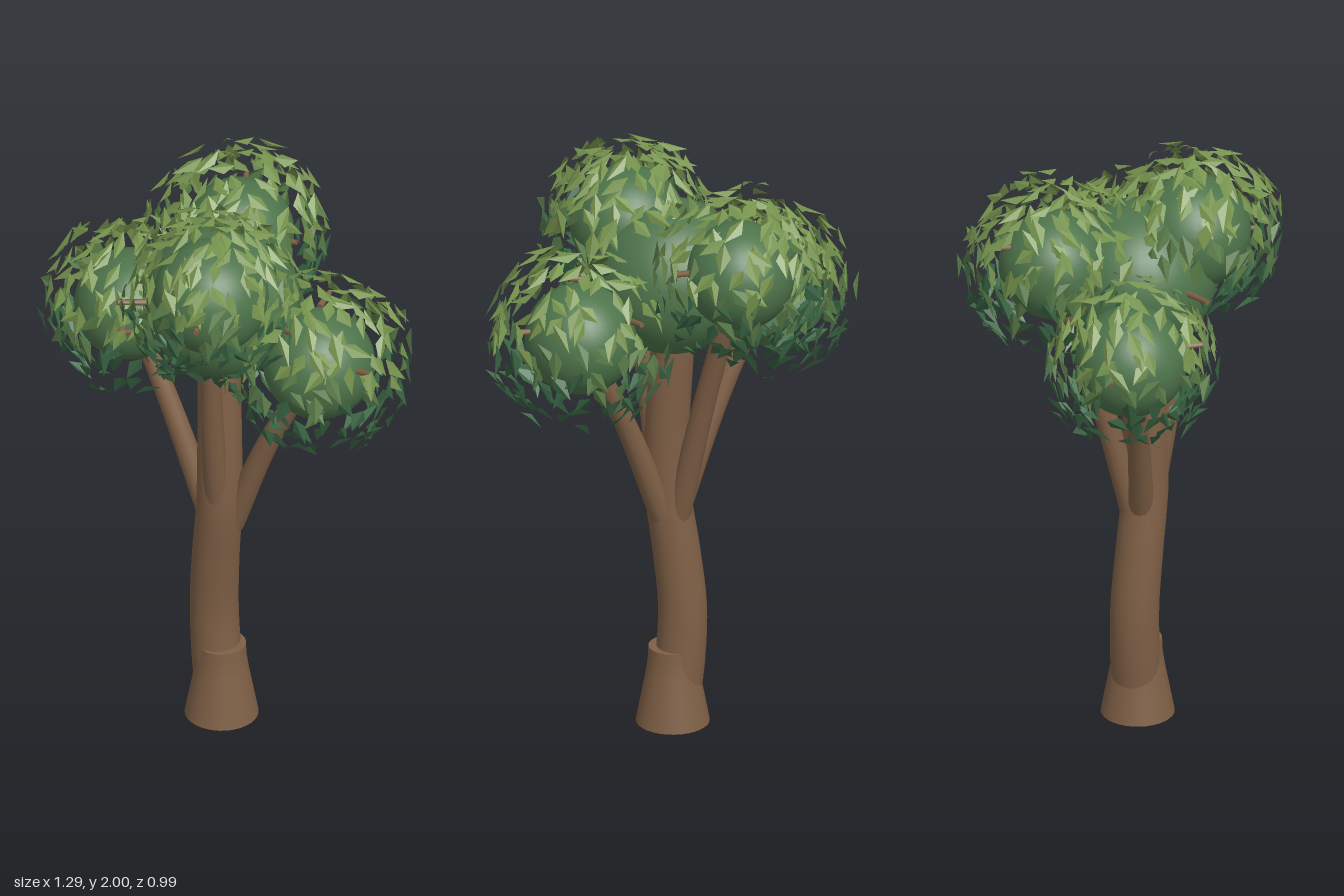
import * as THREE from 'three';

const V = (x, y, z) => new THREE.Vector3(x, y, z);
const mat = (name, color, double) => {
  const m = new THREE.MeshStandardMaterial({ color });
  m.name = name;
  if (double) m.side = THREE.DoubleSide;
  return m;
};

// small seeded random generator
function seeded(seed) {
  return () => {
    seed = (seed + 0x6d2b79f5) | 0;
    let t = Math.imul(seed ^ (seed >>> 15), 1 | seed);
    t = (t + Math.imul(t ^ (t >>> 7), 61 | t)) ^ t;
    return ((t ^ (t >>> 14)) >>> 0) / 4294967296;
  };
}

// tube along a smooth curve whose radius goes from r0 to r1
function taperedTube(points, r0, r1, sides = 20, steps = 24) {
  const curve = new THREE.CatmullRomCurve3(points);
  const geo = new THREE.TubeGeometry(curve, steps, 1, sides, false);
  const pos = geo.attributes.position;
  const v = new THREE.Vector3();
  for (let i = 0; i <= steps; i++) {
    const c = curve.getPointAt(i / steps);
    const r = r0 + (r1 - r0) * (i / steps);
    for (let j = 0; j <= sides; j++) {
      const k = i * (sides + 1) + j;
      v.fromBufferAttribute(pos, k).sub(c).multiplyScalar(r).add(c);
      pos.setXYZ(k, v.x, v.y, v.z);
    }
  }
  return geo;
}

// creased, drooping leaves spread over a shell around one clump, sorted by height
function growLeaves(center, shell, count, rand, buckets) {
  const up = V(0, 1, 0);
  for (let i = 0; i < count; i++) {
    const ny = 0.99 - 1.84 * (i + rand()) / count;
    const a = i * 2.39996 + rand() * 0.8;
    const h = Math.sqrt(1 - ny * ny);
    const n = V(h * Math.cos(a), ny, h * Math.sin(a));
    const mid = n.clone().multiplyScalar(shell + (rand() - 0.5) * 0.065).add(center);
    // direction: down the shell, swung sideways and tilted a little
    const side = new THREE.Vector3().crossVectors(up, n).normalize();
    const dir = new THREE.Vector3().crossVectors(side, n).normalize()
      .applyAxisAngle(n, (rand() - 0.5) * 1.8)
      .addScaledVector(n, (rand() - 0.5) * 0.4).normalize();
    const across = new THREE.Vector3().crossVectors(dir, n).normalize()
      .applyAxisAngle(dir, (rand() - 0.5) * 0.6);
    const out = new THREE.Vector3().crossVectors(across, dir).normalize();
    const len = 0.08 + rand() * 0.04, w = 0.018 + rand() * 0.009;
    const base = mid.clone().addScaledVector(dir, -len / 2);
    const tip = mid.clone().addScaledVector(dir, len / 2);
    const edge = s => mid.clone().addScaledVector(dir, -len * 0.08)
      .addScaledVector(across, s * w).addScaledVector(out, -0.011);
    const l = edge(-1), r = edge(1);
    const level = ny + (rand() - 0.5) * 0.4;
    const bucket = buckets[level > 0.2 ? 0 : level > -0.15 ? 1 : 2];
    for (const p of [base, l, tip, base, tip, r]) bucket.push(p.x, p.y, p.z);
  }
}

export function createModel() {
  const group = new THREE.Group();
  group.name = 'tree';
  const bark = mat('bark brown', 0x7f6046);
  const crown = mat('crown green', 0x4e744b);
  const leafMats = [
    mat('light leaf green', 0x77944e, true),
    mat('leaf green', 0x5a7c49, true),
    mat('dark leaf green', 0x3a6644, true),
  ];
  const add = (name, geo, material) => {
    const m = new THREE.Mesh(geo, material);
    m.name = name;
    group.add(m);
    return m;
  };

  // flared foot with a flat collar on top
  const foot = [[0.12, 0], [0.105, 0.08], [0.088, 0.17], [0.081, 0.22], [0.079, 0.265]]
    .map(p => new THREE.Vector2(...p));
  add('trunkFoot', new THREE.LatheGeometry(foot, 32), bark).position.set(-0.018, 0, 0.04);
  const collar = add('footCollar', new THREE.CircleGeometry(0.079, 32), bark);
  collar.rotation.x = -Math.PI / 2;
  collar.position.set(-0.018, 0.265, 0.04);
  const sole = add('footSole', new THREE.CircleGeometry(0.12, 32), bark);
  sole.rotation.x = Math.PI / 2;
  sole.position.set(-0.018, 0, 0.04);

  // gently bent trunk
  add('trunk', taperedTube([
    V(-0.02, 0.04, 0.04), V(-0.043, 0.22, 0.04), V(-0.051, 0.4, 0.042), V(-0.033, 0.6, 0.052),
    V(-0.005, 0.82, 0.062), V(-0.005, 1.05, 0.06), V(-0.018, 1.3, 0.05), V(-0.02, 1.5, 0.04),
  ], 0.083, 0.068, 24, 36), bark);

  // leaf clumps: name, centre, radius, gap to the leaves, leaf count, branch start and bend
  const clumps = [
    ['right', V(-0.352, 1.45, 0.135), 0.182, 0.085, 220, V(-0.035, 0.72, 0.06), V(-0.185, 1.1, 0.1)],
    ['left', V(0.318, 1.445, -0.08), 0.182, 0.105, 220, V(0.02, 0.74, 0.03), V(0.155, 1.1, -0.01)],
    ['back', V(-0.185, 1.665, -0.19), 0.178, 0.1, 240, V(-0.03, 0.72, 0.03), V(-0.105, 1.2, -0.07)],
    ['front', V(0.095, 1.715, 0.19), 0.188, 0.078, 270, V(0.012, 0.82, 0.085), V(0.045, 1.2, 0.14)],
  ];
  const rand = seeded(17);
  const buckets = [[], [], []];
  const core = V(-0.015, 1.58, 0.04);
  add('crownCore', new THREE.SphereGeometry(0.255, 32, 24), crown).position.copy(core);
  for (const [name, c, r, gap, count, start, bend] of clumps) {
    add(name + 'Clump', new THREE.SphereGeometry(r, 32, 24), crown).position.copy(c);
    add(name + 'Branch', taperedTube([start, bend, c], 0.042, 0.029, 14, 16), bark);
    growLeaves(c, r + gap, count, rand, buckets);
  }

  // short twigs poking out of the clumps
  const twigs = [
    [V(-0.48, 1.47, 0.14), V(-0.57, 1.47, 0.14)],
    [V(-0.18, 1.47, 0.25), V(-0.24, 1.46, 0.29)],
    [V(-0.24, 1.47, 0.27), V(-0.195, 1.47, 0.34)],
    [V(-0.14, 1.61, 0.26), V(-0.19, 1.62, 0.34)],
    [V(0.27, 1.6, 0.03), V(0.34, 1.61, 0.035)],
    [V(-0.27, 1.75, -0.29), V(-0.315, 1.76, -0.34)],
    [V(-0.02, 1.7, -0.21), V(0.04, 1.71, -0.235)],
    [V(0.48, 1.49, -0.09), V(0.54, 1.5, -0.1)],
    [V(0.17, 1.7, 0.32), V(0.21, 1.7, 0.36)],
    [V(0.19, 1.55, -0.2), V(0.16, 1.56, -0.27)],
  ];
  for (const [a, b] of twigs) {
    const d = b.clone().sub(a);
    const t = add('twig', new THREE.CylinderGeometry(0.009, 0.011, d.length(), 8), bark);
    t.position.copy(a).addScaledVector(d, 0.5);
    t.quaternion.setFromUnitVectors(V(0, 1, 0), d.normalize());
  }

  // one mesh of leaves for each green
  buckets.forEach((points, i) => {
    const geo = new THREE.BufferGeometry();
    geo.setAttribute('position', new THREE.Float32BufferAttribute(points, 3));
    geo.computeVertexNormals();
    add(['upperLeaves', 'middleLeaves', 'lowerLeaves'][i], geo, leafMats[i]);
  });
  return group;
}
